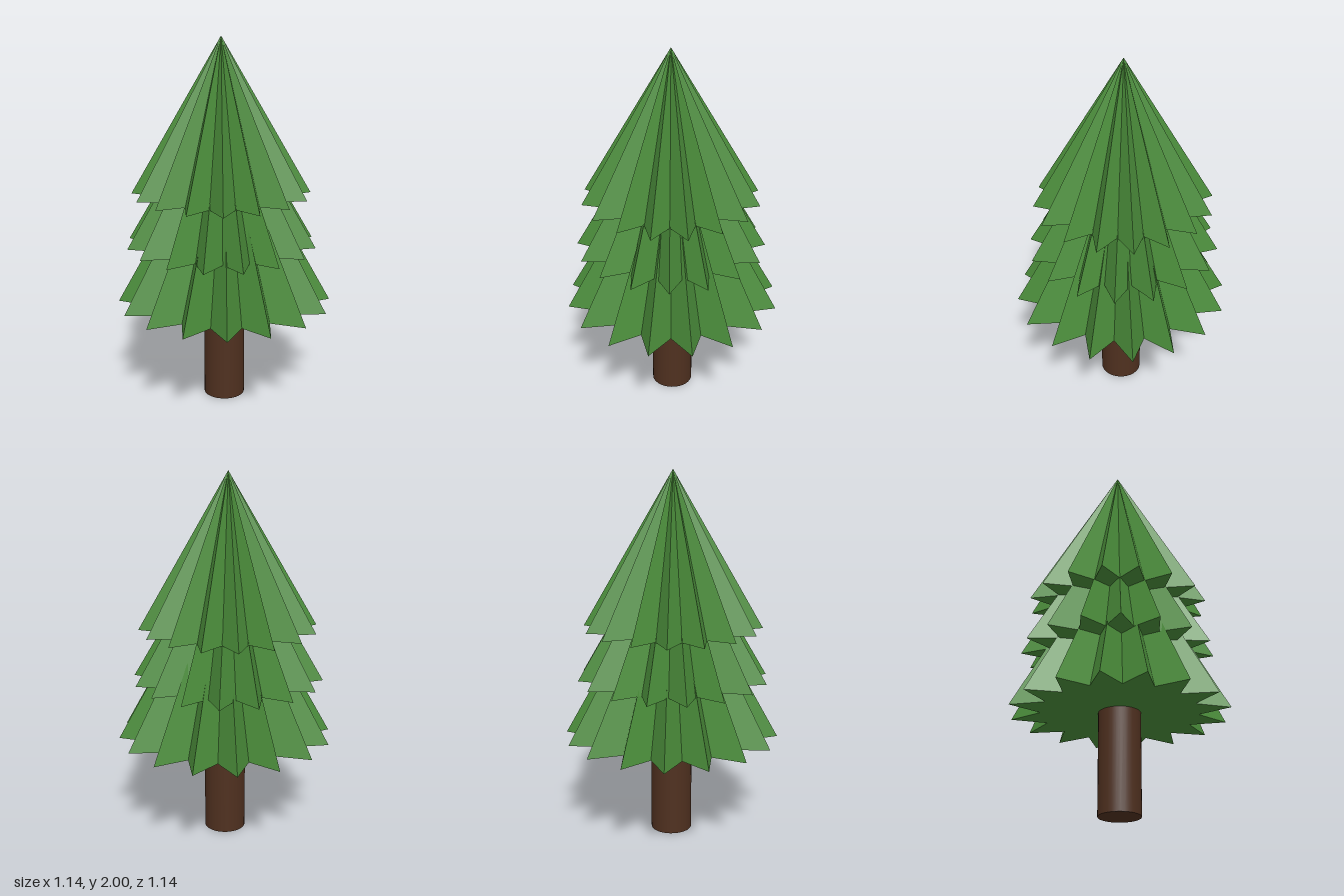
import * as THREE from 'three';

const POINTS = 16;
const VALLEY = 0.71; // inner radius of the star relative to its tips

// Cone whose rim is pinched into a star; oddTips turns it by half a point
function starCone(radius, base, apex, oddTips) {
  const geo = new THREE.ConeGeometry(radius, apex - base, POINTS * 2, 1);
  const pos = geo.attributes.position;
  for (let i = 0; i < pos.count; i++) {
    const x = pos.getX(i), z = pos.getZ(i);
    if (Math.hypot(x, z) < 1e-4) continue;
    const step = Math.round(Math.atan2(x, z) / (Math.PI / POINTS));
    const isTip = (Math.abs(step) % 2 === 1) === oddTips;
    if (!isTip) {
      pos.setX(i, x * VALLEY);
      pos.setZ(i, z * VALLEY);
    }
  }
  geo.translate(0, (base + apex) / 2, 0);
  const flat = geo.toNonIndexed();
  flat.computeVertexNormals();
  return flat;
}

export function createModel() {
  const tree = new THREE.Group();
  tree.name = 'pineTree';

  const bark = new THREE.MeshStandardMaterial({ color: 0x4f301f });
  const needles = new THREE.MeshStandardMaterial({ color: 0x4a8c3a, flatShading: true });

  // Round trunk, ending just inside the lowest tier
  const trunk = new THREE.Mesh(new THREE.CylinderGeometry(0.112, 0.112, 0.58, 32), bark);
  trunk.name = 'trunk';
  trunk.position.y = 0.29;
  tree.add(trunk);

  // Three stacked foliage tiers, the upper two slightly off centre
  const tiers = [
    { name: 'lowerFoliage', radius: 0.583, base: 0.55, apex: 1.6, oddTips: true, x: 0 },
    { name: 'middleFoliage', radius: 0.515, base: 0.88, apex: 1.77, oddTips: false, x: -0.017 },
    { name: 'upperFoliage', radius: 0.481, base: 1.165, apex: 2, oddTips: true, x: -0.017 },
  ];
  for (const t of tiers) {
    const mesh = new THREE.Mesh(starCone(t.radius, t.base, t.apex, t.oddTips), needles);
    mesh.name = t.name;
    mesh.position.x = t.x;
    tree.add(mesh);
  }
  return tree;
}
